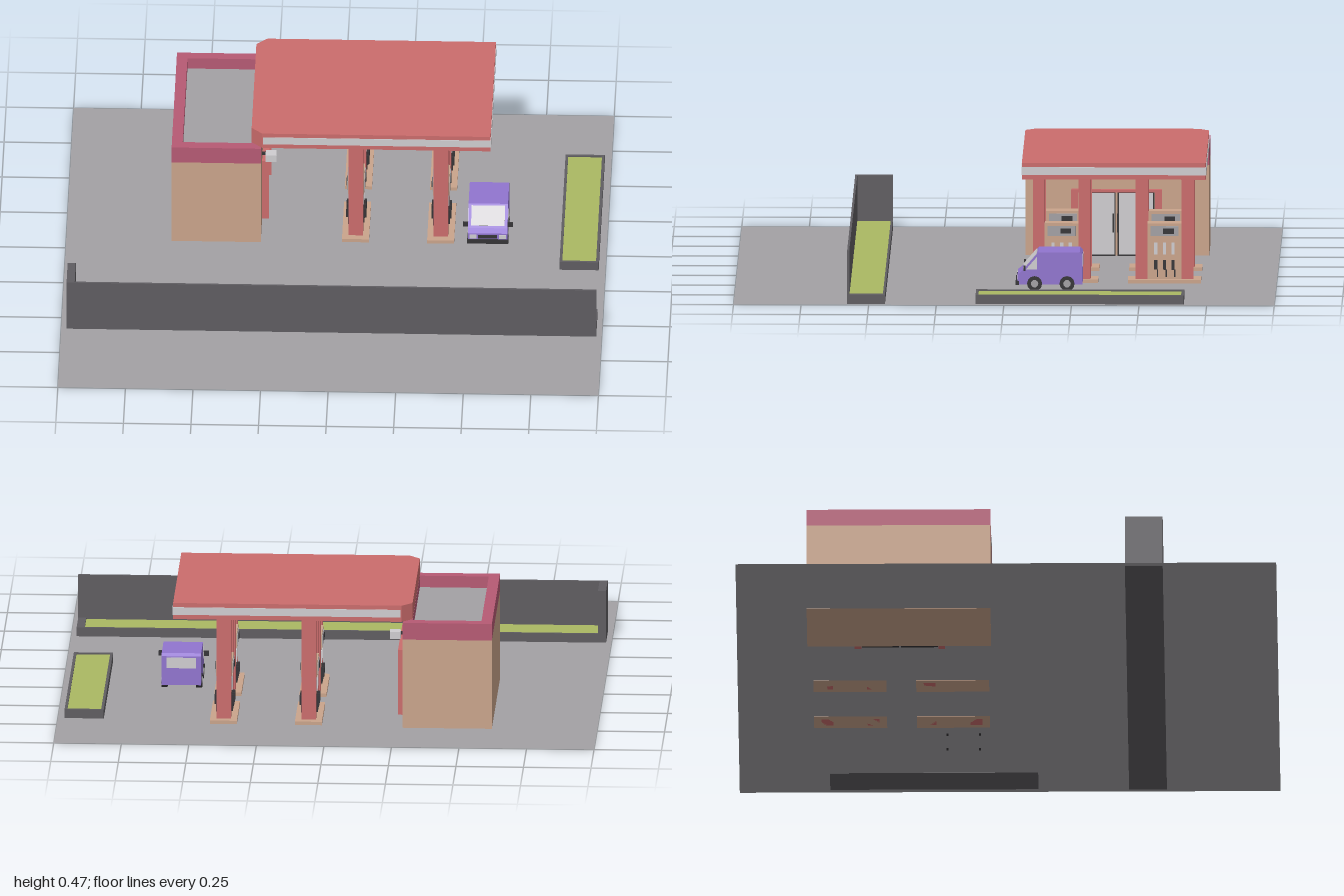
import * as THREE from 'three';

const mat = (name, color, side = THREE.FrontSide) => {
  const m = new THREE.MeshStandardMaterial({ color, side });
  m.name = name;
  return m;
};

export function createModel() {
  const paving = mat('paving grey', 0xa3a1a4, THREE.DoubleSide);
  const kerbDark = mat('kerb dark grey', 0x5f5d61);
  const grass = mat('grass green', 0xabb963);
  const red = mat('canopy red', 0xcb6c6c);
  const maroon = mat('band maroon', 0xb65a74);
  const tan = mat('wall tan', 0xcaa48b);
  const light = mat('light grey', 0xcfcdd0);
  const purple = mat('van purple', 0x9175cf);
  const black = mat('near black', 0x353437);

  const model = new THREE.Group();
  const group = (name, parent = model) => {
    const g = new THREE.Group();
    g.name = name;
    parent.add(g);
    return g;
  };
  const add = (parent, name, geo, m) => {
    const mesh = new THREE.Mesh(geo, m);
    mesh.name = name;
    parent.add(mesh);
    return mesh;
  };
  // Box given by its limits on each axis
  const box = (parent, name, m, x0, x1, y0, y1, z0, z1) => {
    const mesh = add(parent, name, new THREE.BoxGeometry(x1 - x0, y1 - y0, z1 - z0), m);
    mesh.position.set((x0 + x1) / 2, (y0 + y1) / 2, (z0 + z1) / 2);
    return mesh;
  };
  // Plan outline in [x, z], raised from y0 to y1
  const slab = (parent, name, m, pts, y0, y1, hole) => {
    const path = (a) => a.map(([x, z]) => new THREE.Vector2(x, -z));
    const shape = new THREE.Shape(path(pts));
    if (hole) shape.holes.push(new THREE.Path(path(hole)));
    const geo = new THREE.ExtrudeGeometry(shape, { depth: y1 - y0, bevelEnabled: false });
    geo.rotateX(-Math.PI / 2).translate(0, y0, 0);
    return add(parent, name, geo, m);
  };
  const rect = (x0, x1, z0, z1) => [[x0, z0], [x0, z1], [x1, z1], [x1, z0]];

  // Paved ground
  const ground = add(model, 'ground', new THREE.PlaneGeometry(2, 2), paving);
  ground.rotation.x = -Math.PI / 2;
  ground.position.y = 0.001;

  // Planters, the front one with a wall along its front and left end
  const planter = (name, x0, x1, z0, z1, tx, tz) => {
    const g = group(name);
    slab(g, 'kerb', kerbDark, rect(x0, x1, z0, z1), 0, 0.035,
      rect(x0 + tx, x1 - tx, z0 + tz, z1 - tz));
    box(g, 'planterBase', kerbDark, x0 + tx, x1 - tx, 0, 0.01, z0 + tz, z1 - tz);
    box(g, 'lawn', grass, x0 + tx, x1 - tx, 0.01, 0.03, z0 + tz, z1 - tz);
    return g;
  };
  planter('sidePlanter', 0.83, 0.975, -0.665, 0.105, 0.01, 0.01);
  const front = planter('frontPlanter', -0.98, 0.98, 0.44, 0.58, 0.03, 0.008);
  box(front, 'frontWall', kerbDark, -0.98, 0.98, 0.035, 0.2, 0.572, 0.58);
  box(front, 'endWall', kerbDark, -0.98, -0.95, 0.035, 0.2, 0.44, 0.572);

  // Shop building
  const shop = group('shop');
  box(shop, 'shopWalls', tan, -0.61, -0.28, 0, 0.34, -0.74, -0.06);
  slab(shop, 'parapet', maroon, rect(-0.61, -0.28, -0.74, -0.06), 0.34, 0.404,
    rect(-0.57, -0.315, -0.7, -0.1));
  box(shop, 'flatRoof', paving, -0.57, -0.315, 0.34, 0.36, -0.7, -0.1);

  // Entrance with red frame and two glazed doors
  const door = group('entrance', shop);
  for (const z of [-0.565, -0.255]) box(door, 'doorJamb', red, -0.28, -0.255, 0, 0.25, z, z + 0.025);
  box(door, 'doorHead', red, -0.28, -0.255, 0.24, 0.25, -0.54, -0.255);
  for (const z of [-0.538, -0.394]) {
    box(door, 'doorLeafFrame', black, -0.28, -0.27, 0, 0.24, z, z + 0.137);
    box(door, 'doorGlass', light, -0.27, -0.266, 0.006, 0.236, z + 0.005, z + 0.132);
  }
  for (const z of [-0.405, -0.388]) box(door, 'doorHandle', black, -0.266, -0.26, 0.09, 0.16, z, z + 0.005);

  // Wall lamps beside the entrance
  for (const [z, s] of [[-0.168, -1], [-0.558, 1]]) {
    const lamp = group('wallLamp', shop);
    box(lamp, 'lampBracket', black, -0.28, -0.25, 0.303, 0.313, z + s * 0.02 - 0.005, z + s * 0.02 + 0.005);
    box(lamp, 'lampHead', light, -0.265, -0.225, 0.295, 0.322, z - 0.02, z + 0.02);
  }

  // Canopy with clipped corners over the shop and a pale stripe round three sides
  const canopy = group('canopy');
  slab(canopy, 'canopySlab', red, [[-0.315, -0.7], [-0.315, -0.1], [-0.275, -0.06],
    [0.57, -0.06], [0.57, -0.74], [-0.275, -0.74]], 0.408, 0.47);
  for (const z of [-0.742, -0.061]) box(canopy, 'longStripe', light, -0.272, 0.572, 0.425, 0.454, z, z + 0.003);
  box(canopy, 'endStripe', light, 0.569, 0.572, 0.425, 0.454, -0.74, -0.06);

  // Pump islands, each with two pillars and a pump between them
  for (const x of [0.07, 0.385]) for (const z of [-0.205, -0.585]) {
    const island = group('pumpIsland');
    island.position.set(x, 0, z);
    box(island, 'islandBase', tan, -0.05, 0.05, 0, 0.014, -0.135, 0.135);
    for (const s of [-1, 1]) {
      box(island, 'pillar', red, -0.027, 0.027, 0, 0.41, s * 0.085 - 0.022, s * 0.085 + 0.022);
    }
    box(island, 'pumpBody', tan, -0.025, 0.025, 0.014, 0.165, -0.063, 0.063);
    box(island, 'pumpHead', tan, -0.03, 0.03, 0.165, 0.222, -0.063, 0.063);
    for (const s of [-1, 1]) {
      const side = group('pumpFace', island);
      side.rotation.y = s > 0 ? 0 : Math.PI;
      box(side, 'displayPanel', paving, 0.03, 0.033, 0.175, 0.212, -0.052, 0.052);
      box(side, 'displayScreen', black, 0.033, 0.036, 0.184, 0.203, -0.035, 0.005);
      for (const k of [-0.032, 0, 0.032]) {
        box(side, 'gradePanel', light, 0.025, 0.029, 0.105, 0.15, k - 0.006, k + 0.006);
        box(side, 'nozzle', black, 0.025, 0.037, 0.05, 0.085, k - 0.006, k + 0.006);
        box(side, 'hose', black, 0.025, 0.031, 0.022, 0.05, k - 0.009, k - 0.004);
      }
    }
  }

  // Van: side profile in [z, y], extruded across its width
  const van = group('van');
  van.position.x = 0.56;
  const across = (pts, w) => {
    const shape = new THREE.Shape(pts.map(([z, y]) => new THREE.Vector2(-z, y)));
    return new THREE.ExtrudeGeometry(shape, { depth: w, bevelEnabled: false })
      .translate(0, 0, -w / 2).rotateY(Math.PI / 2);
  };
  add(van, 'vanBody', across([[-0.285, 0.025], [-0.045, 0.025], [-0.045, 0.062], [-0.062, 0.075],
    [-0.122, 0.145], [-0.275, 0.145], [-0.285, 0.135]], 0.146), purple);
  const screen = box(van, 'windscreen', light, -0.062, 0.062, -0.002, 0.002, -0.038, 0.038);
  screen.position.set(0, 0.111, -0.0915);
  screen.rotation.x = Math.atan2(0.07, 0.06);
  box(van, 'bumper', black, -0.076, 0.076, 0.022, 0.038, -0.05, -0.038);
  box(van, 'grille', black, -0.035, 0.035, 0.042, 0.056, -0.046, -0.042);
  box(van, 'rearWindow', light, -0.055, 0.055, 0.09, 0.13, -0.287, -0.284);
  for (const s of [-1, 1]) {
    box(van, 'headlamp', light, s * 0.054 - 0.013, s * 0.054 + 0.013, 0.042, 0.057, -0.046, -0.042);
    const glass = add(van, 'sideWindow', across([[-0.075, 0.08], [-0.117, 0.128], [-0.117, 0.08]], 0.003), light);
    glass.position.x = s * 0.073;
    box(van, 'mirror', black, s * 0.083 - 0.01, s * 0.083 + 0.01, 0.078, 0.096, -0.074, -0.067);
    for (const z of [-0.108, -0.228]) {
      const tyre = add(van, 'tyre', new THREE.CylinderGeometry(0.028, 0.028, 0.022, 12), black);
      tyre.rotation.z = Math.PI / 2;
      tyre.position.set(s * 0.064, 0.028, z);
      const hub = add(van, 'hubcap', new THREE.CylinderGeometry(0.014, 0.014, 0.004, 10), paving);
      hub.rotation.z = Math.PI / 2;
      hub.position.set(s * 0.075, 0.028, z);
    }
  }
  return model;
}
